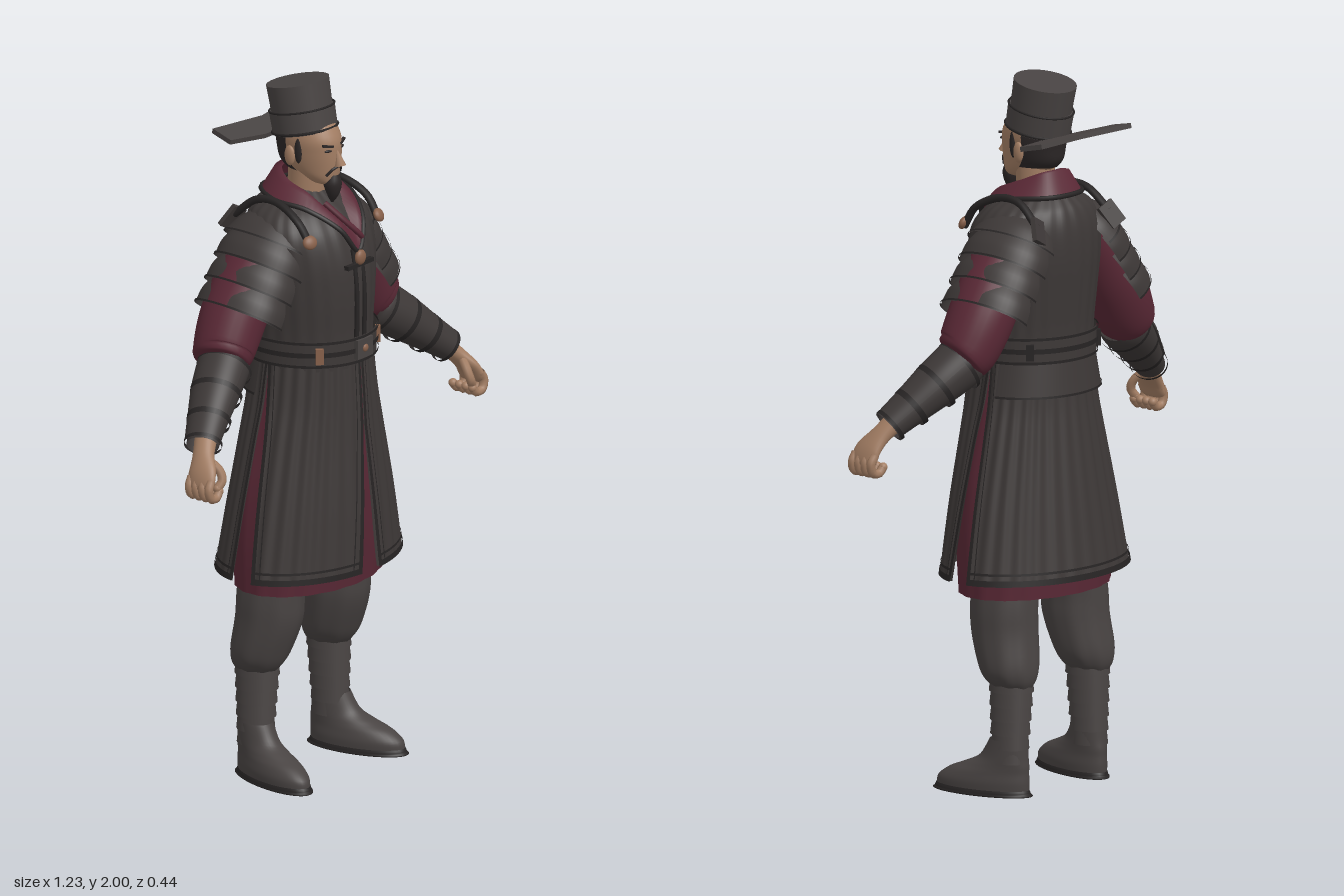
import * as THREE from 'three';

const mat = (name, color) => new THREE.MeshStandardMaterial({ name, color, side: THREE.DoubleSide });
const V = (p) => new THREE.Vector3(p[0], p[1], p[2]);

// Surface from a rule f(u, v), wrapped round in u when closed
function grid(nu, nv, closed, f) {
  const pos = [], idx = [], w = closed ? nu : nu + 1;
  for (let j = 0; j <= nv; j++) for (let i = 0; i < w; i++) pos.push(...f(i / nu, j / nv));
  for (let j = 0; j < nv; j++) for (let i = 0; i < nu; i++) {
    const a = j * w + i, b = j * w + (i + 1) % w;
    idx.push(a, b, b + w, a, b + w, a + w);
  }
  const g = new THREE.BufferGeometry();
  g.setAttribute('position', new THREE.Float32BufferAttribute(pos, 3));
  g.setIndex(idx);
  g.computeVertexNormals();
  return g;
}

// Smooth interpolation through rows of numbers
function rowAt(rows, v) {
  const n = rows.length - 1, k = Math.min(n - 1, Math.floor(v * n)), t = v * n - k;
  const [a, b, c, d] = [k - 1, k, k + 1, k + 2].map((i) => rows[Math.max(0, Math.min(n, i))]);
  return b.map((_, i) => b[i] + 0.5 * t * (c[i] - a[i]
    + t * (2 * a[i] - 5 * b[i] + 4 * c[i] - d[i] + t * (3 * (b[i] - c[i]) + d[i] - a[i]))));
}

// Upright body from rows [y, cx, cz, halfWidth, front, back], listed bottom to top.
// from/to give the angle range by height (0 = front, growing towards +x).
function loft(rows, o = {}) {
  const { from, to, seg = 40, grow = 0, ridge = 0, freq = 30, v0 = 0, v1 = 1 } = o;
  return grid(seg, (rows.length - 1) * 5, !from, (u, t) => {
    const v = v0 + (v1 - v0) * t;
    const [y, cx, cz, rx, f, b] = rowAt(rows, v);
    const a = from ? from(v) + (to(v) - from(v)) * u : u * Math.PI * 2;
    const k = grow + ridge * Math.cos(a * freq), c = Math.cos(a);
    return [cx + (rx + k) * Math.sin(a), y, cz + c * ((c > 0 ? f : b) + k)];
  });
}

// Limb along points [x, y, z, radius, depth radius], optionally only an arc of it
function limb(pts, a0 = 0, a1 = Math.PI * 2, seg = 28) {
  const closed = a1 - a0 > 6.28;
  return grid(seg, (pts.length - 1) * 5, closed, (u, v) => {
    const p = rowAt(pts, v);
    const t = V(rowAt(pts, Math.min(1, v + 0.01))).sub(V(rowAt(pts, Math.max(0, v - 0.01)))).normalize();
    const A = new THREE.Vector3().crossVectors(t, new THREE.Vector3(0, 0, 1)).normalize();
    const B = new THREE.Vector3().crossVectors(A, t);
    const a = a0 + (a1 - a0) * u;
    return V(p).addScaledVector(A, p[3] * Math.sin(a)).addScaledVector(B, (p[4] ?? p[3]) * Math.cos(a)).toArray();
  });
}

const tube = (pts, r, n = 20) => new THREE.TubeGeometry(new THREE.CatmullRomCurve3(pts.map(V)), n, r, 8);

export function createModel() {
  const model = new THREE.Group();
  const cloth = mat('charcoal cloth', 0x484342), armour = mat('dark quilted armour', 0x3d3837);
  const trim = mat('black trim', 0x272424), wine = mat('wine cloth', 0x592835);
  const skin = mat('skin', 0xa27d63), hair = mat('black hair', 0x2b2626), brass = mat('old brass', 0x87604a);
  const add = (name, geo, m, parent = model, p = [0, 0, 0], s = [1, 1, 1], r = [0, 0, 0]) => {
    const mesh = new THREE.Mesh(geo, m);
    mesh.name = name;
    mesh.position.set(...p); mesh.scale.set(...s); mesh.rotation.set(...r);
    parent.add(mesh);
    return mesh;
  };
  const ball = new THREE.SphereGeometry(1, 20, 14), box = new THREE.BoxGeometry(1, 1, 1);
  const PI = Math.PI;

  // Head and neck
  const headRows = [[1.703, 0, .06, .004, .004, .004], [1.71, 0, .055, .028, .04, .04], [1.73, 0, .04, .047, .06, .085],
    [1.76, 0, .01, .061, .094, .09], [1.8, 0, 0, .07, .105, .088], [1.84, 0, 0, .074, .1, .092], [1.89, 0, -.01, .068, .08, .08]];
  add('head', loft(headRows), skin);
  add('neck', loft([[1.58, 0, -.01, .055, .055, .055], [1.77, 0, .005, .052, .05, .06]]), skin);
  add('hair', loft(headRows, { from: () => 1.75, to: () => 2 * PI - 1.75, grow: .005, v0: .42, v1: .95 }), hair);
  add('nose', new THREE.ConeGeometry(.014, .05, 8), skin, model, [0, 1.79, .108], [1, 1, 1.3], [-.25, 0, 0]);
  add('goatee', loft([[1.655, 0, .085, .004, .004, .004], [1.68, 0, .086, .018, .02, .014], [1.71, 0, .086, .026, .026, .025],
    [1.737, 0, .085, .018, .02, .02]], { seg: 20 }), hair);
  for (const s of [-1, 1]) {
    add('ear', ball, skin, model, [s * .074, 1.79, -.005], [.01, .029, .017]);
    add('sideburn', ball, hair, model, [s * .067, 1.81, .02], [.009, .04, .012]);
    add('eye', ball, hair, model, [s * .029, 1.811, .095], [.013, .004, .004], [0, s * .3, 0]);
    add('eyebrow', box, hair, model, [s * .031, 1.826, .095], [.034, .006, .008], [0, s * .35, s * .18]);
    add('moustache', tube([[s * .003, 1.762, .106], [s * .018, 1.756, .101], [s * .03, 1.738, .088]], .004, 8), hair);
  }

  // Hat: a two-step tilted crown with one straight plate across the back
  const hat = new THREE.Group();
  hat.name = 'hat';
  hat.position.set(0, 1.845, -.01);
  hat.rotation.x = -.2;
  model.add(hat);
  add('hatBand', new THREE.CylinderGeometry(.089, .087, .065, 40), cloth, hat, [0, .032, 0], [1, 1, 1.06]);
  add('hatCrown', new THREE.CylinderGeometry(.088, .083, .14, 40), cloth, hat, [0, .07, 0]);
  add('hatRim', new THREE.TorusGeometry(.088, .004, 6, 40), trim, hat, [0, .005, 0], [1, 1.06, 1], [PI / 2, 0, 0]);
  add('hatBandEdge', new THREE.TorusGeometry(.088, .003, 6, 40), trim, hat, [0, .065, 0], [1, 1.06, 1], [PI / 2, 0, 0]);
  const wing = new THREE.Shape([[-.193, -.02], [-.075, -.05], [.075, -.05], [.193, -.02], [.184, .053], [0, .027], [-.184, .053]]
    .map((p) => new THREE.Vector2(...p)));
  add('hatWings', new THREE.ExtrudeGeometry(wing, { depth: .014, bevelEnabled: false }), cloth, model,
    [0, 1.832, -.14], [1, 1, 1], [-PI / 2 + .22, 0, 0]);

  // Vest with its crossed collar
  const vest = [[1.2, 0, 0, .172, .182, .145], [1.3, 0, 0, .175, .182, .148], [1.4, 0, 0, .185, .185, .157], [1.5, 0, 0, .195, .178, .165],
    [1.58, 0, 0, .195, .153, .162], [1.63, 0, -.01, .168, .125, .138], [1.66, 0, -.015, .125, .09, .11], [1.69, 0, -.015, .07, .05, .075]];
  add('vest', loft(vest, { seg: 120, ridge: .0015, freq: 24 }), armour);
  const ring = (p) => new THREE.CatmullRomCurve3([...p, ...p.slice(1, -1).reverse().map(([x, y, z]) => [-x, y, z])].map(V), true);
  const collar = [[[0, 1.53, .178], [.05, 1.6, .155], [.1, 1.655, .075], [.12, 1.668, -.02], [.07, 1.675, -.11], [0, 1.675, -.125]],
    [[0, 1.57, .17], [.04, 1.625, .14], [.078, 1.685, .06], [.085, 1.71, -.02], [.05, 1.735, -.08], [0, 1.74, -.09]],
    [[0, 1.62, .115], [.033, 1.645, .095], [.06, 1.69, .045], [.066, 1.715, -.015], [.04, 1.735, -.06], [0, 1.738, -.07]]].map(ring);
  add('collar', grid(60, 2, true, (u, v) => collar[Math.round(v * 2)].getPoint(u).toArray()), wine);
  add('collarOverlap', tube([[-.045, 1.665, .095], [-.02, 1.62, .142], [.015, 1.575, .17], [.03, 1.56, .168]], .008), wine);
  add('neckTrim', new THREE.TubeGeometry(collar[0], 80, .007, 6, true), trim);
  for (const s of [-1, 1]) add('frontEdge', tube([[s * .016, 1.54, .17], [s * .016, 1.42, .185], [s * .016, 1.22, .183]], .007), trim);
  add('clasp', ball, brass, model, [0, 1.515, .185], [.02, .022, .012]);
  add('claspCord', box, trim, model, [0, 1.495, .18], [.11, .012, .016]);

  // Belt
  const belt = [[1.215, 0, 0, .183, .192, .155], [1.29, 0, 0, .184, .192, .156]];
  add('belt', loft(belt, { seg: 60 }), armour);
  for (const v of [0, .42, .85]) add('beltTrim', loft(belt, { seg: 60, grow: .005, v0: v, v1: v + .15 }), trim);
  add('buckle', box, cloth, model, [0, 1.255, .196], [.065, .055, .014]);
  add('buckleStud', ball, brass, model, [0, 1.255, .203], [.011, .011, .006]);
  for (const s of [-1, 1]) for (const a of [.75, 2.3]) {
    add('beltFitting', box, a < 1 ? brass : trim, model,
      [s * .187 * Math.sin(a), 1.25, Math.cos(a) * (a < 1 ? .196 : .16)], [.022, .045, .014], [0, s * a, 0]);
  }

  // Skirt: wine underskirt below quilted panels split at the front and sides
  add('underskirt', loft([[.56, 0, 0, .25, .17, .165], [.7, 0, 0, .252, .183, .17], [.85, 0, 0, .236, .188, .163],
    [1, 0, 0, .204, .182, .145], [1.2, 0, 0, .165, .17, .135]], { seg: 72, ridge: .002, freq: 18 }), wine);
  const skirt = [[.61, 0, 0, .303, .218, .213], [.8, 0, 0, .264, .209, .187], [1, 0, 0, .216, .194, .161],
    [1.1, 0, 0, .192, .188, .15], [1.22, 0, 0, .173, .18, .143]];
  const gap = (v) => .012 + .11 * Math.max(0, 1 - v / .55);
  const frontEnd = (v) => 1.38 + .17 * v, backStart = (v) => 1.67 - .11 * v;
  const panels = [['frontSkirtLeft', gap, frontEnd], ['frontSkirtRight', (v) => -frontEnd(v), (v) => -gap(v)],
    ['backSkirt', backStart, (v) => 2 * PI - backStart(v)]];
  for (const [name, from, to] of panels) {
    const g = new THREE.Group();
    g.name = name;
    model.add(g);
    add('quiltedPanel', loft(skirt, { from, to, seg: 96, ridge: .003 }), armour, g);
    add('hemTrim', loft(skirt, { from, to, seg: 60, grow: .006, v0: 0, v1: .035 }), trim, g);
    add('hemStitch', loft(skirt, { from, to, seg: 60, grow: .005, v0: .055, v1: .065 }), trim, g);
    for (const [a, w] of [[from, .05], [to, -.05]]) {
      const b = (v) => a(v) + w;
      add('edgeTrim', loft(skirt, { from: w > 0 ? a : b, to: w > 0 ? b : a, seg: 6, grow: .006 }), trim, g);
      const c = (v) => a(v) + w * 2, d = (v) => a(v) + w * 2.3;
      add('edgeStitch', loft(skirt, { from: w > 0 ? c : d, to: w > 0 ? d : c, seg: 3, grow: .005 }), trim, g);
    }
  }
  const flap = [[1.12, 0, 0, .2, .2, .165], [1.22, 0, 0, .18, .19, .153]];
  add('backFlap', loft(flap, { from: () => 1.75, to: () => 2 * PI - 1.75 }), armour);
  add('backFlapTrim', loft(flap, { from: () => 1.75, to: () => 2 * PI - 1.75, grow: .003, v1: .1 }), trim);

  // Arms and legs, mirrored
  for (const s of [1, -1]) {
    const side = s > 0 ? 'left' : 'right';
    const arm = new THREE.Group(), leg = new THREE.Group();
    arm.name = side + 'Arm'; leg.name = side + 'Leg';
    arm.scale.x = leg.scale.x = s;
    model.add(arm, leg);

    add('sleeve', limb([[.13, 1.57, -.03, .07, .085], [.21, 1.46, -.04, .085, .093], [.268, 1.37, -.045, .09, .095],
      [.315, 1.29, -.04, .086, .088], [.338, 1.262, -.03, .075, .078], [.35, 1.25, -.025, .04, .04]]), wine, arm);
    // Overlapping shoulder plates
    const axis = (t) => [.085 + .16 * t, 1.605 - .235 * t, -.032 - .008 * t];
    for (let i = 3; i >= 0; i--) {
      const top = i ? .09 : .062, a = -PI / 2 - 1.75, b = -PI / 2 + 1.75;
      const p = [...axis(i / 4), top, top * 1.3], q = [...axis((i + 1.2) / 4), .106, .138];
      const mid = p.map((n, k) => (n + q[k]) / 2 + (k > 2 ? .007 : 0));
      add('shoulderPlate', limb([p, mid, q], a, b), armour, arm);
      const e = rowAt([p, mid, q], .9).map((n, k) => n + (k > 2 ? .004 : 0));
      const e2 = q.map((n, k) => n + (k > 2 ? .004 : 0));
      add('shoulderPlateEdge', limb([e, e2], a, b), trim, arm);
    }
    add('shoulderStrap', tube([[.148, 1.575, .128], [.15, 1.635, .085], [.14, 1.672, 0], [.14, 1.665, -.07], [.148, 1.61, -.14]], .011), trim, arm);
    add('frontShoulderBuckle', ball, brass, arm, [.15, 1.585, .128], [.022, .02, .012], [-.5, .3, 0]);
    add('backShoulderTab', box, armour, arm, [.15, 1.6, -.147], [.05, .07, .014], [.4, .3, .4]);

    // Bracer
    const bracer = [[.305, 1.257, -.032, .06, .062], [.335, 1.238, -.025, .069, .07], [.4, 1.19, 0, .062, .066],
      [.47, 1.135, .03, .05, .055], [.535, 1.083, .06, .04, .046]];
    add('bracer', limb(bracer), armour, arm);
    add('bracerPlate', limb(bracer.slice(1).map((p) => p.map((n, k) => n + (k > 2 ? .007 : 0))), -2.6, -.3), armour, arm);
    for (const v of [.24, .5, .74, .95]) {
      const grown = [v, v + .045].map((t) => rowAt(bracer, t).map((n, k) => n + (k > 2 ? .008 : 0)));
      add('bracerBand', limb(grown), trim, arm);
    }

    // Curled hand
    add('palm', limb([[.515, 1.095, .055, .028, .032], [.55, 1.06, .075, .023, .032], [.58, 1.02, .095, .019, .044],
      [.594, .985, .1, .014, .042], [.596, .978, .1, .003, .01]]), skin, arm);
    for (let i = 0; i < 4; i++) {
      const z = .064 + .023 * i;
      add('finger', tube([[.587, 1.01, z], [.6, .985, z + .002], [.592, .96, z + .003], [.568, .956, z + .002], [.553, .972, z]], .0125, 14), skin, arm);
      add('fingertip', ball, skin, arm, [.553, .972, z], [.0125, .0125, .0125]);
    }
    add('thumb', tube([[.553, 1.055, .095], [.54, 1.025, .125], [.542, 1, .135], [.556, .98, .13]], .0125, 12), skin, arm);
    add('thumbTip', ball, skin, arm, [.556, .98, .13], [.0125, .0125, .0125]);

    // Baggy trousers gathered below the knee
    add('trouserLeg', loft([[.305, .157, -.055, .045, .055, .06], [.33, .157, -.052, .068, .076, .074], [.37, .154, -.045, .083, .09, .083],
      [.46, .146, -.025, .088, .102, .092], [.56, .14, -.018, .088, .102, .095], [.78, .1, 0, .092, .1, .1]], { ridge: .0015, freq: 9 }), cloth, leg);
    // Wrapped calf
    for (let i = 0; i < 6; i++) {
      const y = .095 + .04 * i, r = .043 + .0022 * i;
      add('calfWrap', loft([[y, .164 - .0015 * i, -.054, r + .004, r + .012, r + .011], [y + .05, .163 - .0015 * i, -.054, r - .001, r + .007, r + .007]]),
        cloth, leg, [0, 0, 0]).rotation.z = 0;
    }
    add('calfWrapTie', loft([[.318, .157, -.054, .056, .066, .066], [.332, .157, -.054, .057, .067, .067]]), trim, leg);
    // Boot, turned outwards
    const foot = new THREE.Group();
    foot.name = 'boot';
    foot.position.set(.166, 0, -.05);
    foot.rotation.y = .22;
    leg.add(foot);
    add('bootUpper', loft([[.015, 0, .08, .059, .142, .143], [.04, 0, .078, .06, .138, .142], [.065, 0, .065, .055, .118, .128],
      [.085, 0, .035, .05, .1, .098], [.11, 0, .01, .047, .075, .07], [.16, 0, -.002, .044, .055, .055]]), cloth, foot);
    add('bootSole', loft([[0, 0, .08, .004, .004, .004], [.001, 0, .08, .058, .142, .143], [.01, 0, .08, .062, .147, .147],
      [.02, 0, .08, .059, .142, .143]]), trim, foot);
  }
  return model;
}
